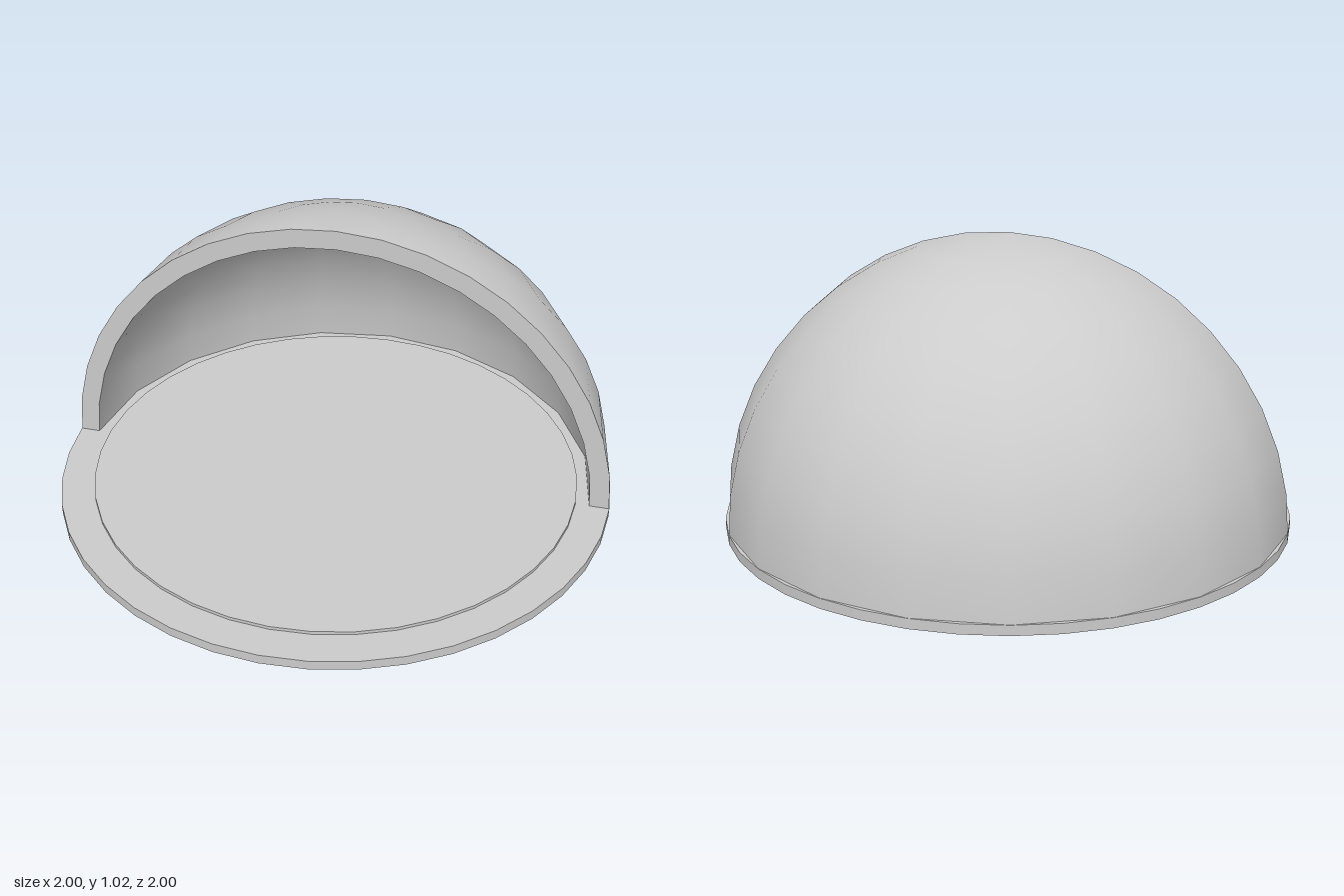
import * as THREE from 'three';

const OUTER = 1, INNER = 0.93, STEPS = 10;
const DOME_Y = 0.0175; // dome is seated at mid height of the base plate

function part(name, geometry, y) {
  const mesh = new THREE.Mesh(geometry, new THREE.MeshStandardMaterial({ color: 0xcccccc }));
  mesh.name = name;
  mesh.position.y = y;
  return mesh;
}

// Arc of points between two angles, used for profiles and the rim
function arc(radius, from, to, steps) {
  return Array.from({ length: steps + 1 }, (_, i) => {
    const a = from + (to - from) * i / steps;
    return new THREE.Vector2(Math.max(radius * Math.cos(a), -radius), radius * Math.sin(a));
  });
}

export function createModel() {
  const model = new THREE.Group();
  model.name = 'openHalfDome';

  // Round plate with a slightly raised floor
  model.add(part('basePlate', new THREE.CylinderGeometry(1, 1, 0.035, 40), 0.0175));
  model.add(part('raisedFloor', new THREE.CylinderGeometry(0.88, 0.88, 0.025, 40), 0.0345));

  // Quarter-sphere shell behind z = 0: bottom-to-top profile faces out, top-to-bottom faces in
  const shell = points => new THREE.LatheGeometry(points, STEPS, Math.PI / 2, Math.PI);
  const dome = new THREE.Group();
  dome.name = 'dome';
  dome.add(part('domeOuter', shell(arc(OUTER, 0, Math.PI / 2, STEPS)), DOME_Y));
  dome.add(part('domeInner', shell(arc(INNER, Math.PI / 2, 0, STEPS)), DOME_Y));

  // Flat front rim closing the shell thickness
  const rim = new THREE.Shape([
    ...arc(OUTER, 0, Math.PI, STEPS * 2),
    ...arc(INNER, Math.PI, 0, STEPS * 2),
  ]);
  dome.add(part('domeRim', new THREE.ShapeGeometry(rim), DOME_Y));
  model.add(dome);

  return model;
}
